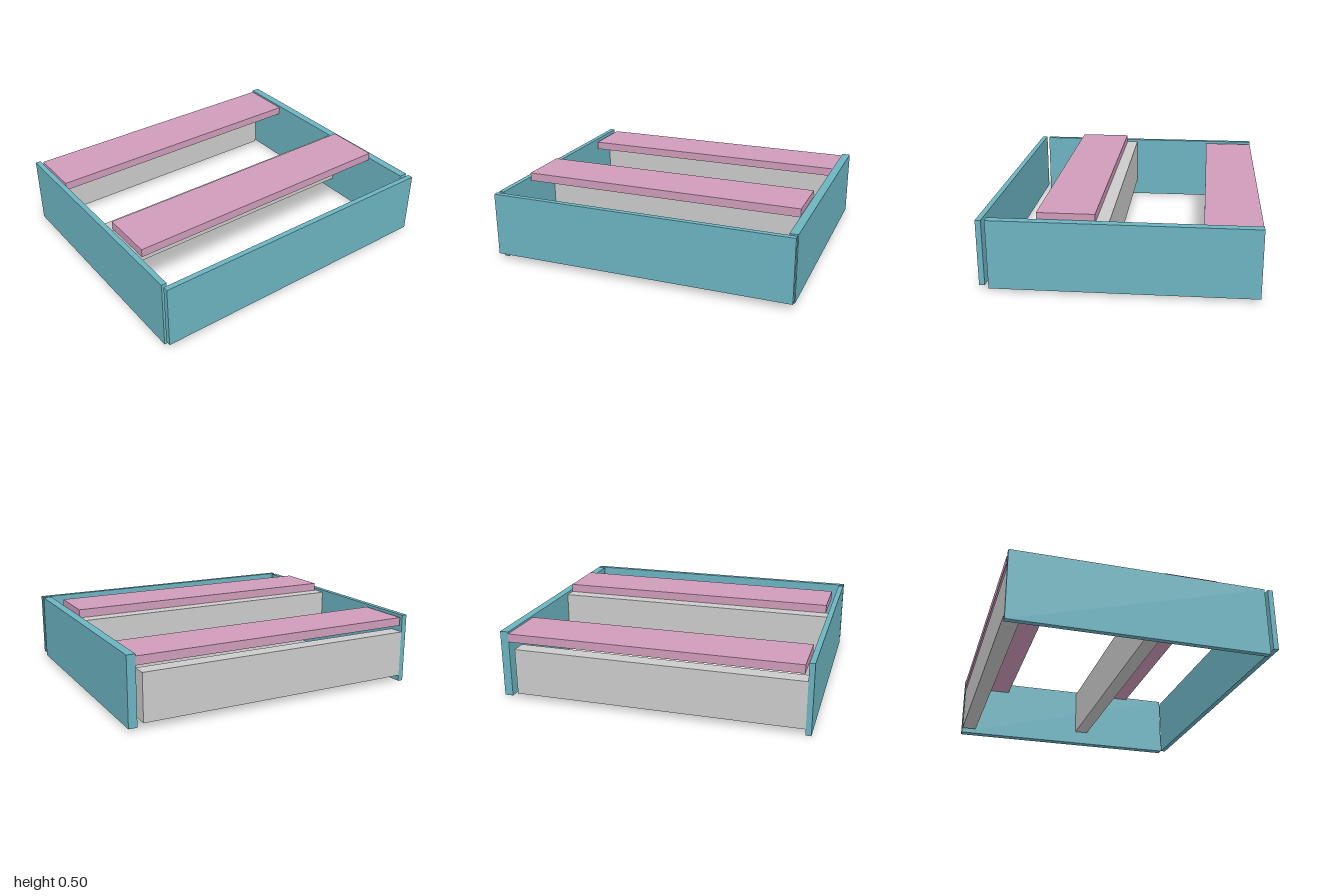
import * as THREE from 'three';

const TEAL = new THREE.MeshStandardMaterial({ color: 0x6cb4c1 });
const PINK = new THREE.MeshStandardMaterial({ color: 0xd09cba });
const GREY = new THREE.MeshStandardMaterial({ color: 0xcccccc });

// A board given by its extents along each axis
function board(name, material, [x0, x1], [y0, y1], [z0, z1]) {
  const mesh = new THREE.Mesh(new THREE.BoxGeometry(x1 - x0, y1 - y0, z1 - z0), material);
  mesh.position.set((x0 + x1) / 2, (y0 + y1) / 2, (z0 + z1) / 2);
  mesh.name = name;
  return mesh;
}

export function createModel() {
  const group = new THREE.Group();
  group.name = 'openFrame';
  group.add(
    // Outer frame, open at the back
    board('frontPanel', TEAL, [-1, 1], [0.04, 0.46], [0.815, 0.85]),
    board('leftSidePanel', TEAL, [0.945, 1], [0.02, 0.46], [-0.85, 0.793]),
    board('rightSidePanel', TEAL, [-1, -0.965], [0, 0.46], [-0.85, 0.793]),
    // Upright cross boards
    board('middleCrossBoard', GREY, [-0.965, 0.945], [0.115, 0.443], [0.06, 0.155]),
    board('backCrossBoard', GREY, [-0.965, 0.907], [0.04, 0.345], [-0.85, -0.75]),
    // Flat planks
    board('frontPlank', PINK, [-0.945, 0.942], [0.445, 0.5], [0.14, 0.493]),
    board('backPlank', PINK, [-0.945, 0.945], [0.392, 0.447], [-0.85, -0.502]),
  );
  return group;
}
